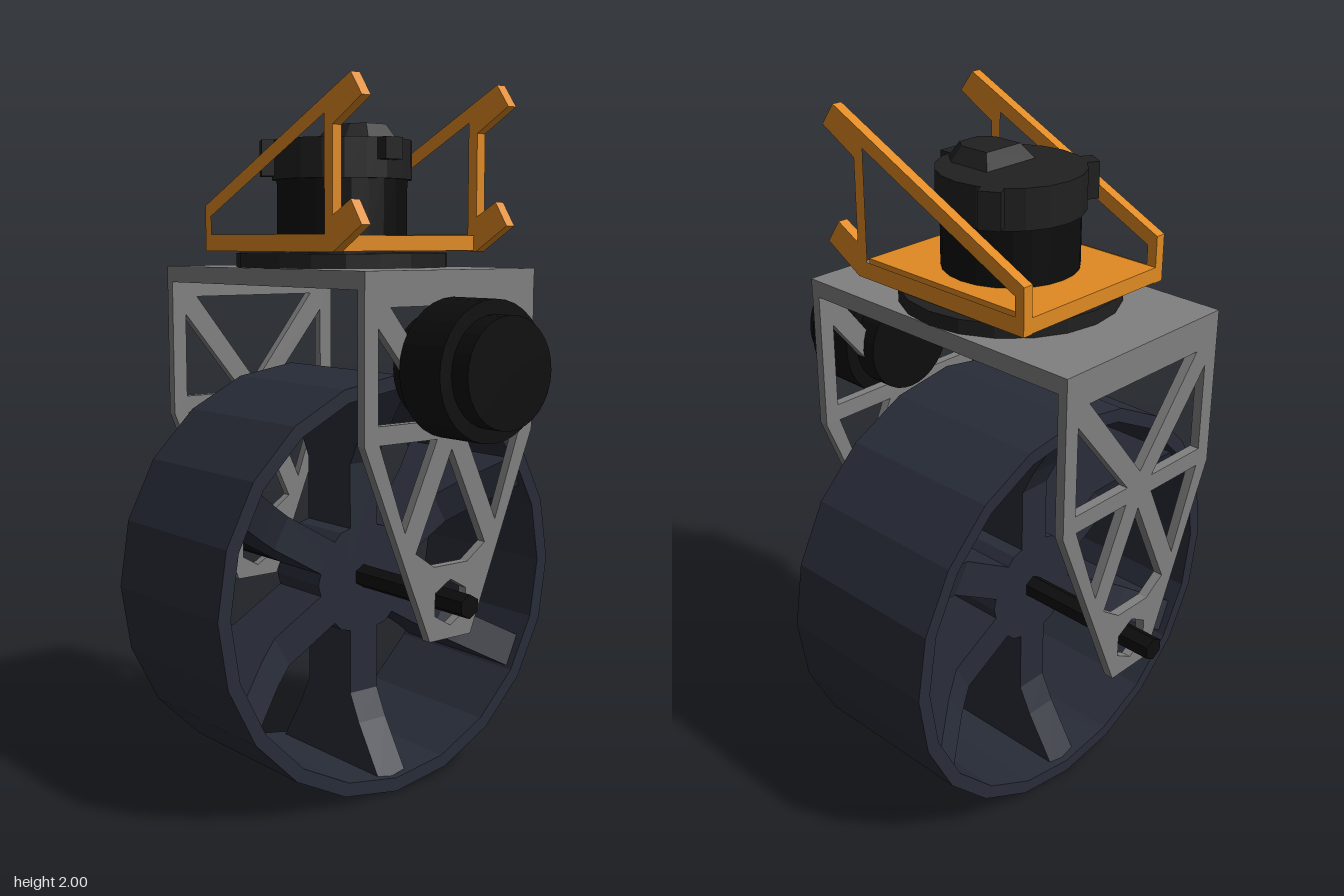
import * as THREE from 'three';

const paint = (color) => new THREE.MeshStandardMaterial({ color, flatShading: true });
const grey = paint(0x808080), tyre = paint(0x282c38), black = paint(0x0d0d0d);
const charcoal = paint(0x202020), orange = paint(0xe08a22);
const MID = -0.07; // z of the steering axis and wheel centre

function add(parent, name, geometry, material, x = 0, y = 0, z = 0) {
  const mesh = new THREE.Mesh(geometry, material);
  mesh.name = name;
  mesh.position.set(x, y, z);
  parent.add(mesh);
  return mesh;
}

const points = (list) => list.map(([x, y]) => new THREE.Vector2(x, y));

// Flat plate from an outline and holes, centred on its thickness
function plate(outline, holes, depth) {
  const shape = new THREE.Shape(points(outline));
  holes.forEach((h) => shape.holes.push(new THREE.Path(points(h))));
  return new THREE.ExtrudeGeometry(shape, { depth, bevelEnabled: false }).translate(0, 0, -depth / 2);
}

const mirror = (list) => list.map(([x, y]) => [-x, y]);

function buildWheel() {
  const wheel = new THREE.Group();
  wheel.name = 'wheel';
  wheel.position.set(0, 0.607, MID);
  const w = 0.252;
  const rim = [[0.565, -w], [0.605, -w], [0.605, w], [0.565, w], [0.565, -w]];
  add(wheel, 'rim', new THREE.LatheGeometry(points(rim), 20).rotateX(Math.PI / 2), tyre);
  add(wheel, 'hub', new THREE.CylinderGeometry(0.165, 0.165, 0.2, 12).rotateX(Math.PI / 2), tyre);
  // Spokes flare in depth towards the rim
  const side = [[0.05, -0.1], [0.34, -0.1], [0.42, -0.14], [0.57, -0.235],
    [0.57, 0.235], [0.42, 0.14], [0.34, 0.1], [0.05, 0.1]];
  for (let i = 0; i < 6; i++) {
    const spoke = add(wheel, 'spoke', plate(side, [], 0.1).rotateX(Math.PI / 2), tyre);
    spoke.rotation.z = Math.PI / 6 + (i * Math.PI) / 3;
  }
  return wheel;
}

function buildFork() {
  const fork = new THREE.Group();
  fork.name = 'fork';
  add(fork, 'forkCrown', new THREE.BoxGeometry(0.6, 0.048, 0.945), grey, 0, 1.481, MID + 0.0025);
  // Trussed leg, tapering to the axle
  const outline = [[-0.3, 1.47], [-0.3, 1.06], [-0.074, 0.51], [0.074, 0.51], [0.3, 1.06], [0.3, 1.47]];
  const upperSide = [[-0.255, 1.36], [-0.255, 1.11], [-0.05, 1.11]];
  const lowerSide = [[-0.25, 1.06], [-0.052, 1.06], [-0.163, 0.82]];
  const hexHole = [];
  for (let i = 0; i < 6; i++) {
    const a = Math.PI / 6 + (i * Math.PI) / 3;
    hexHole.push([0.064 * Math.cos(a), 0.61 + 0.064 * Math.sin(a)]);
  }
  const holes = [
    upperSide, mirror(upperSide), lowerSide, mirror(lowerSide), hexHole,
    [[-0.215, 1.412], [0.215, 1.412], [0, 1.14]],
    [[0, 1.03], [-0.125, 0.76], [-0.06, 0.715], [0.06, 0.715], [0.125, 0.76]],
  ];
  for (const z of [0.39, -0.526]) add(fork, 'forkLeg', plate(outline, holes, 0.028), grey, 0, 0, z);
  return fork;
}

function buildTray() {
  const tray = new THREE.Group();
  tray.name = 'sensorTray';
  add(tray, 'trayPlate', new THREE.BoxGeometry(0.48, 0.042, 0.595), orange, 0, 1.573, -0.0725);
  // Side guards, drawn in z and y
  const outline = [[0.235, 1.55], [-0.37, 1.55], [-0.37, 1.68], [0.31, 2], [0.355, 1.94],
    [0.235, 1.875], [0.235, 1.645], [0.31, 1.685], [0.355, 1.62]];
  const hole = [[0.2, 1.597], [-0.34, 1.597], [-0.34, 1.65], [0.2, 1.905]];
  for (const x of [-0.255, 0.255]) {
    add(tray, 'sideGuard', plate(outline, [hole], 0.03).rotateY(-Math.PI / 2), orange, x);
  }
  return tray;
}

function buildSensor() {
  const sensor = new THREE.Group();
  sensor.name = 'sensor';
  sensor.position.z = MID;
  add(sensor, 'sensorBody', new THREE.CylinderGeometry(0.187, 0.187, 0.17, 24), black, 0, 1.675);
  add(sensor, 'sensorCap', new THREE.CylinderGeometry(0.2, 0.2, 0.11, 20), charcoal, 0, 1.805);
  // Three lugs around the cap
  for (let i = 0; i < 3; i++) {
    const a = (i * Math.PI * 2) / 3;
    const lug = add(sensor, 'capLug', new THREE.BoxGeometry(0.06, i ? 0.1 : 0.06, 0.07), charcoal,
      0.197 * Math.sin(a), i ? 1.81 : 1.83, 0.197 * Math.cos(a));
    lug.rotation.y = a;
  }
  // Chamfered bump on top, square at the back and clipped at the front
  const base = [[-0.09, 0], [0.09, 0], [0.09, 0.13], [0.05, 0.18], [-0.05, 0.18], [-0.09, 0.13]];
  const bump = plate(mirror(base).reverse(), [], 0.04).rotateX(Math.PI / 2);
  const p = bump.attributes.position;
  for (let i = 0; i < p.count; i++) {
    if (p.getY(i) > 0) {
      p.setX(i, p.getX(i) * 0.7);
      p.setZ(i, 0.09 + (p.getZ(i) - 0.09) * 0.7);
    }
  }
  add(sensor, 'capBump', bump, charcoal, 0, 1.88, 0);
  return sensor;
}

export function createModel() {
  const model = new THREE.Group();
  model.name = 'steeredWheelModule';
  model.add(buildWheel(), buildFork(), buildTray(), buildSensor());

  add(model, 'axle', new THREE.CylinderGeometry(0.034, 0.034, 1.1, 6).rotateX(Math.PI / 2), black, 0, 0.612, MID);

  // Turntable between fork and tray
  add(model, 'turntable', new THREE.CylinderGeometry(0.303, 0.303, 0.04, 20), charcoal, 0, 1.525, MID);
  add(model, 'turntableHub', new THREE.CylinderGeometry(0.15, 0.15, 0.05, 20), charcoal, 0, 1.535, MID);

  // Drive motor on the front leg, as a profile of radius against z
  const motor = [[0, 0.335], [0.148, 0.335], [0.148, 0.405], [0.187, 0.405], [0.187, 0.56],
    [0.148, 0.56], [0.148, 0.62], [0, 0.62]];
  add(model, 'motor', new THREE.LatheGeometry(points(motor), 32).rotateX(Math.PI / 2), black, 0, 1.247);
  return model;
}
